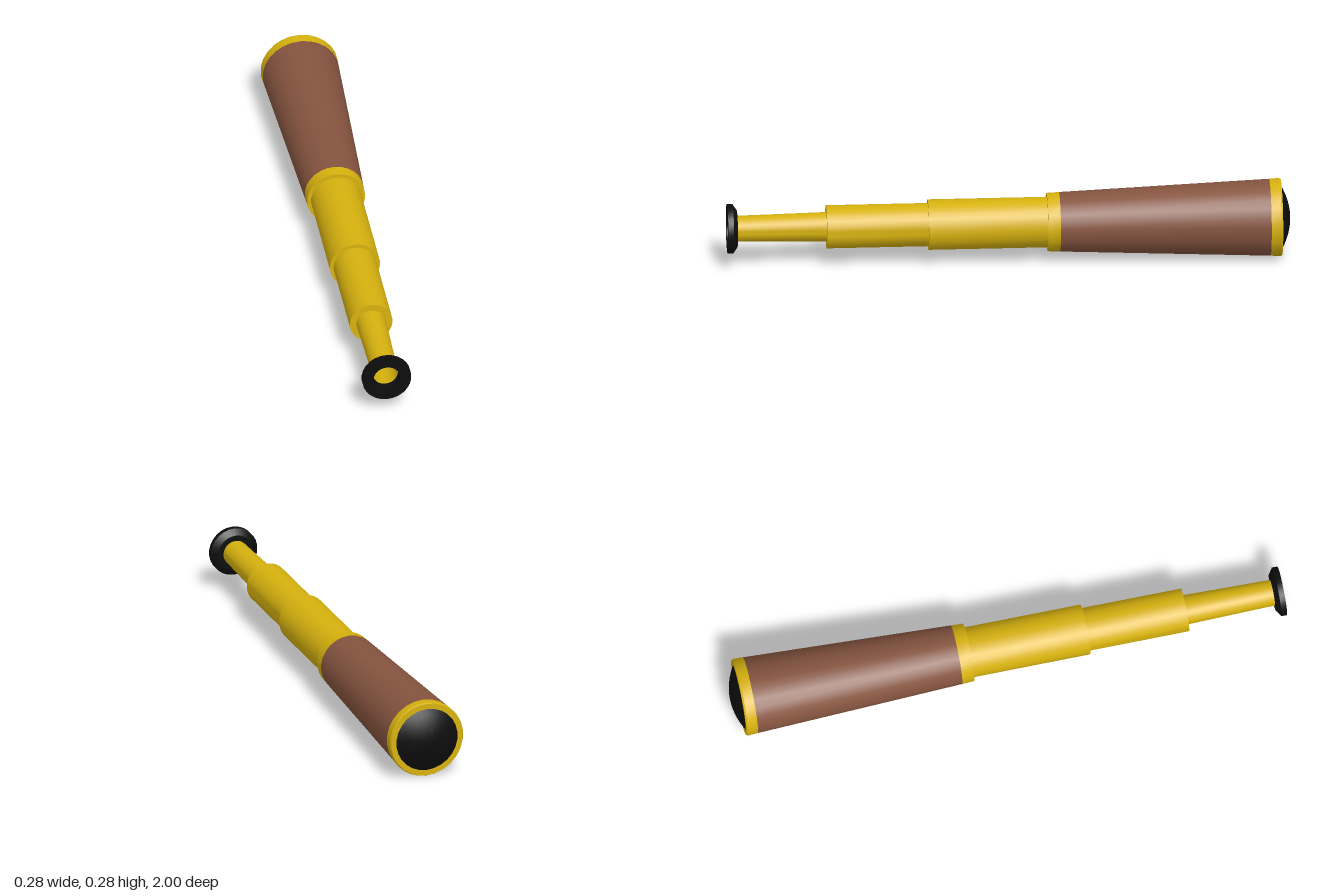
import * as THREE from 'three';
import { toCreasedNormals } from 'three/addons/utils/BufferGeometryUtils.js';

const SIDES = 26;
const AXIS_Y = 0.14;

const material = (color) => new THREE.MeshStandardMaterial({ color, side: THREE.DoubleSide });

export function createModel() {
  const group = new THREE.Group();
  group.name = 'spyglass';
  const brass = material(0xd6b10e);
  const leather = material(0x85543f);
  const black = material(0x0d0d0d);

  // Turned part: [radius, z] profile, running from back to front along the outside
  function turned(name, mat, profile) {
    const points = profile.map(([r, z]) => new THREE.Vector2(r, z));
    const lathe = new THREE.LatheGeometry(points, SIDES).rotateX(Math.PI / 2);
    const mesh = new THREE.Mesh(toCreasedNormals(lathe, 0.5), mat);
    mesh.name = name;
    mesh.position.y = AXIS_Y;
    group.add(mesh);
  }

  // Domed objective lens
  const dome = [];
  for (let i = 0; i <= 6; i++) {
    const r = 0.118 * (i / 6);
    dome.push([r, -1 + 0.034 * (i / 6) ** 2]);
  }
  turned('objectiveLens', black, dome);

  // Brass rim that holds the lens
  turned('objectiveRim', brass, [[0.116, -0.93], [0.116, -0.968], [0.136, -0.968], [0.139, -0.962], [0.137, -0.927]]);

  // Tapered leather-covered barrel
  turned('barrel', leather, [[0.137, -0.927], [0.106, -0.18]]);

  // Collar at the front of the barrel
  turned('barrelCollar', brass, [[0.106, -0.18], [0.104, -0.136], [0.089, -0.136]]);

  // Telescoping draw tubes, each with a stepped end
  turned('largeDrawTube', brass, [[0.09, -0.16], [0.09, 0.287], [0.076, 0.287]]);
  turned('middleDrawTube', brass, [[0.077, 0.26], [0.077, 0.648], [0.05, 0.648]]);
  turned('smallDrawTube', brass, [[0.053, 0.63], [0.046, 0.972]]);

  // Flared eyepiece cup with a sight hole
  turned('eyepiece', black, [[0.045, 0.965], [0.066, 0.965], [0.088, 0.98], [0.088, 1], [0.048, 1], [0.045, 0.965]]);

  return group;
}
